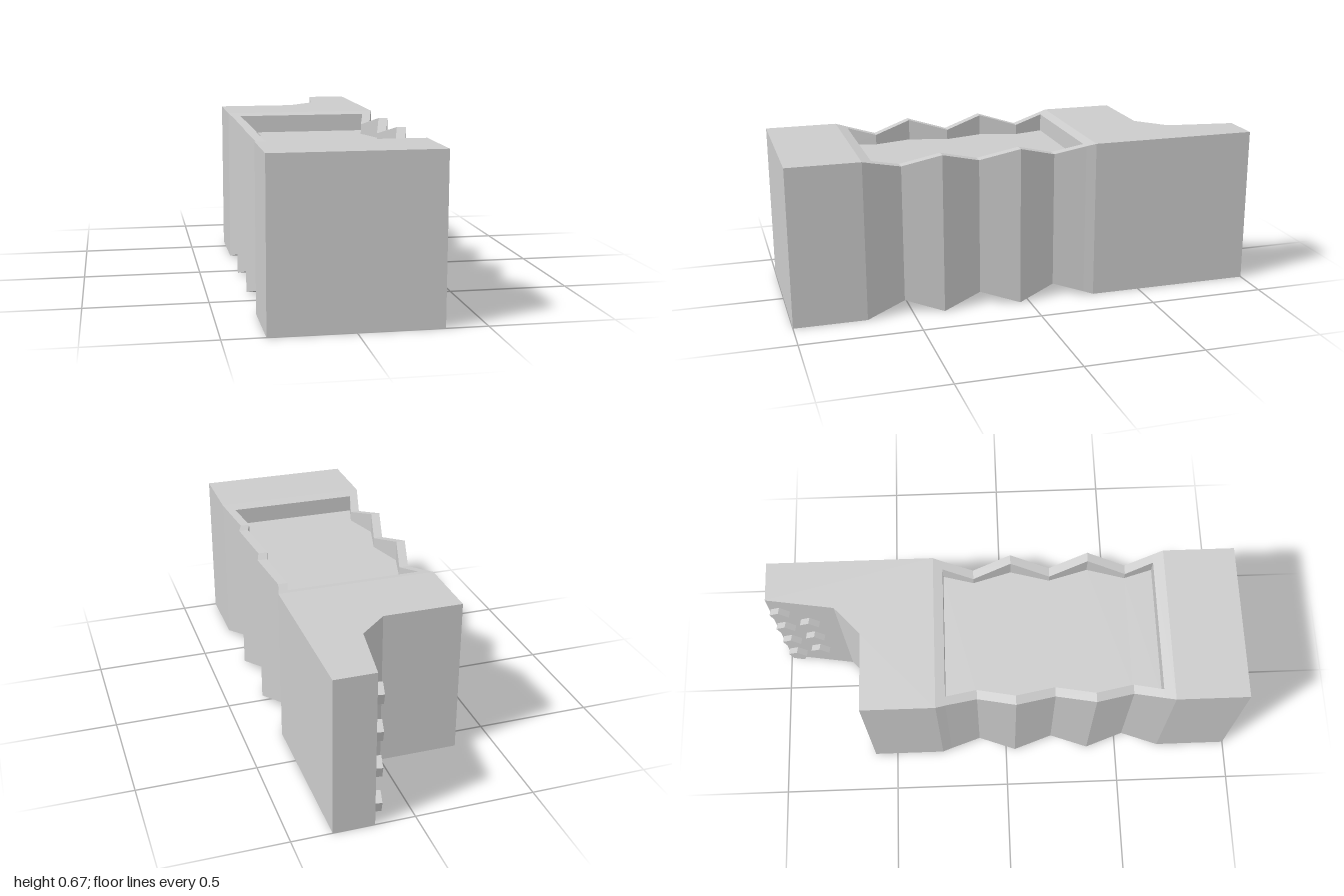
import * as THREE from 'three';

const material = new THREE.MeshStandardMaterial({ color: 0xcccccc, flatShading: true });
const FLOOR = 0.585;

// Stations from front to back: z, half width, bottom, top, half width of the recess (0 = none)
const stations = [
  [1, 0.335, 0, 0.671, 0],
  [0.695, 0.335, 0, 0.671, 0],
  [0.65, 0.323, 0.014, 0.659, 0.285],
  [0.53, 0.29, 0.05, 0.628, 0.25],
  [0.37, 0.335, 0, 0.674, 0.295],
  [0.205, 0.29, 0.05, 0.628, 0.25],
  [0.04, 0.335, 0, 0.674, 0.295],
  [-0.12, 0.29, 0.05, 0.628, 0.25],
  [-0.25, 0.323, 0.012, 0.661, 0.285],
  [-0.29, 0.335, 0, 0.671, 0],
].map(([z, w, lo, hi, inner]) => ({ z, w, lo, hi, inner }));

// Collects four-cornered faces, corners counter-clockwise from outside
function faceBuilder() {
  const points = [];
  return {
    quad(a, b, c, d, flip = false) {
      const corners = flip ? [a, c, b, a, d, c] : [a, b, c, a, c, d];
      corners.forEach((p) => points.push(...p));
    },
    geometry() {
      const g = new THREE.BufferGeometry();
      g.setAttribute('position', new THREE.Float32BufferAttribute(points, 3));
      g.computeVertexNormals();
      return g;
    },
  };
}

function addMesh(parent, name, geometry) {
  const mesh = new THREE.Mesh(geometry, material);
  mesh.name = name;
  parent.add(mesh);
  return mesh;
}

// Front block and pleated middle
function pleatedShell() {
  const f = faceBuilder();
  const s0 = stations[0];
  f.quad([-s0.w, s0.lo, s0.z], [s0.w, s0.lo, s0.z], [s0.w, s0.hi, s0.z], [-s0.w, s0.hi, s0.z]);
  for (let i = 0; i < stations.length - 1; i++) {
    const s = stations[i], t = stations[i + 1];
    f.quad([-s.w, s.lo, s.z], [s.w, s.lo, s.z], [t.w, t.lo, t.z], [-t.w, t.lo, t.z], true);
    const open = s.inner && t.inner;
    for (const m of [-1, 1]) {
      f.quad([m * s.w, s.lo, s.z], [m * t.w, t.lo, t.z],
        [m * t.w, t.hi, t.z], [m * s.w, s.hi, s.z], m < 0);
      // Narrow rim beside the recess
      if (open) f.quad([m * s.inner, s.hi, s.z], [m * s.w, s.hi, s.z],
        [m * t.w, t.hi, t.z], [m * t.inner, t.hi, t.z], m < 0);
    }
    if (!open) f.quad([-s.w, s.hi, s.z], [s.w, s.hi, s.z], [t.w, t.hi, t.z], [-t.w, t.hi, t.z]);
  }
  return f.geometry();
}

// Walls and floor of the sunken panel
function recess() {
  const f = faceBuilder();
  const open = stations.filter((s) => s.inner);
  for (let i = 0; i < open.length - 1; i++) {
    const s = open[i], t = open[i + 1];
    f.quad([-s.inner, FLOOR, s.z], [s.inner, FLOOR, s.z], [t.inner, FLOOR, t.z], [-t.inner, FLOOR, t.z]);
    for (const m of [-1, 1]) {
      f.quad([m * s.inner, FLOOR, s.z], [m * t.inner, FLOOR, t.z],
        [m * t.inner, t.hi, t.z], [m * s.inner, s.hi, s.z], m > 0);
    }
  }
  [open[0], open[open.length - 1]].forEach((s, i) => {
    f.quad([-s.inner, FLOOR, s.z], [s.inner, FLOOR, s.z],
      [s.inner, s.hi, s.z], [-s.inner, s.hi, s.z], i === 0);
  });
  return f.geometry();
}

// Rear block with the prong, drawn in plan and raised
function rearBlock() {
  const plan = [[-0.335, -0.29], [0.335, -0.29], [0.335, -1], [0.165, -1],
    [0.12, -0.71], [0, -0.6], [-0.335, -0.6]];
  const shape = new THREE.Shape(plan.map(([x, z]) => new THREE.Vector2(x, -z)));
  const g = new THREE.ExtrudeGeometry(shape, { depth: 0.671, bevelEnabled: false });
  return g.rotateX(-Math.PI / 2);
}

export function createModel() {
  const model = new THREE.Group();
  model.name = 'pleatedBlock';
  addMesh(model, 'pleatedShell', pleatedShell());
  addMesh(model, 'recessedPanel', recess());
  addMesh(model, 'rearBlock', rearBlock());

  // Five-sided pegs on the slanted face of the prong, in two staggered columns
  const pegs = new THREE.Group();
  pegs.name = 'pegs';
  model.add(pegs);
  const height = 0.04, shown = 0.028;
  const normal = new THREE.Vector3(-0.29, 0, -0.045).normalize();
  // Axis along z with one corner pointing up
  const pegGeometry = new THREE.CylinderGeometry(0.044, 0.044, height, 5)
    .rotateX(Math.PI / 2).rotateZ(Math.PI);
  const columns = [
    { z: -0.952, ys: [0.56, 0.4, 0.24, 0.08] },
    { z: -0.835, ys: [0.48, 0.32, 0.16] },
  ];
  for (const { z, ys } of columns) {
    const x = 0.12 + (0.045 * (-0.71 - z)) / 0.29;
    for (const y of ys) {
      const peg = addMesh(pegs, 'peg', pegGeometry);
      peg.position.set(x, y, z).addScaledVector(normal, shown - height / 2);
      peg.rotation.y = Math.atan2(normal.x, normal.z);
    }
  }
  return model;
}
